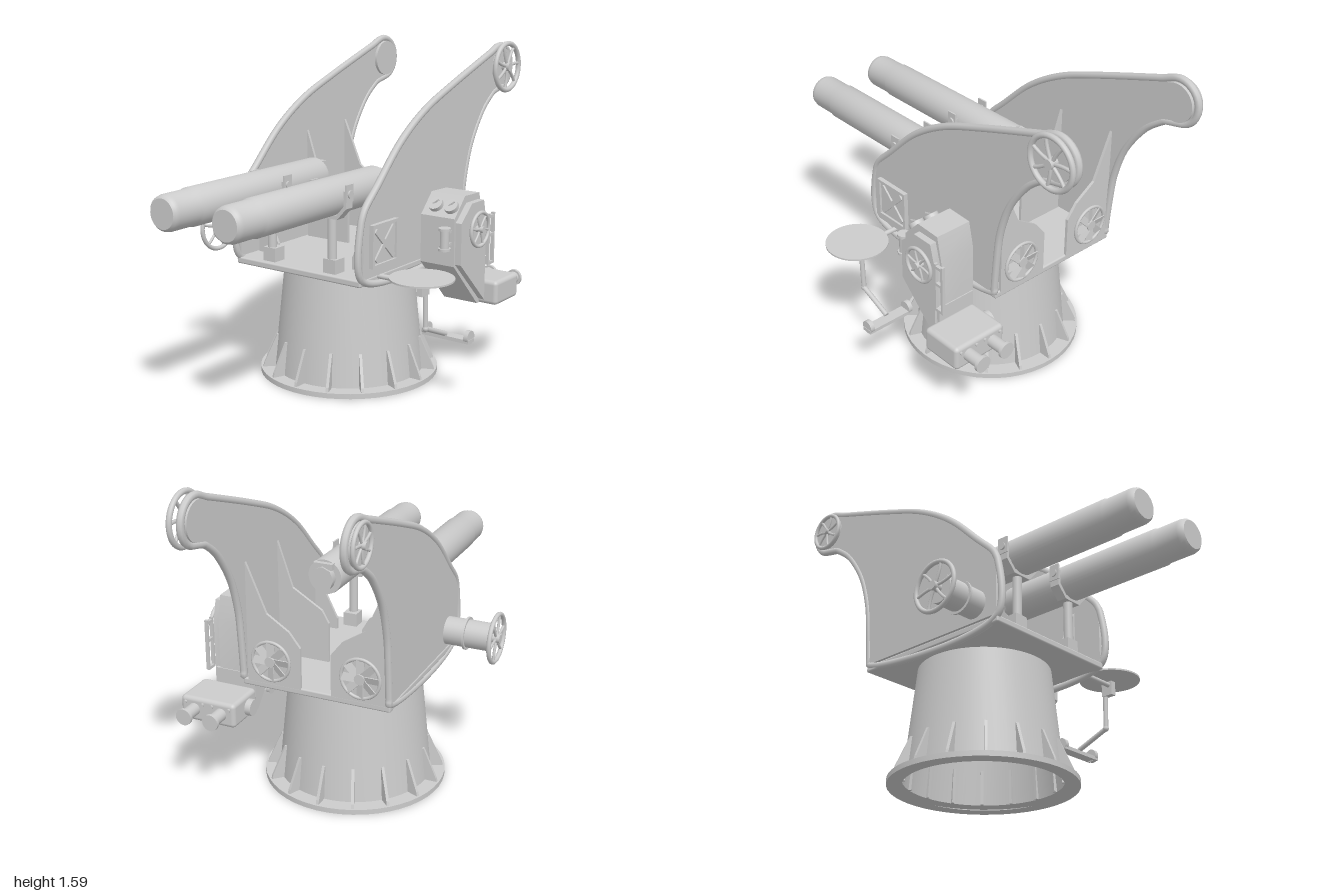
import * as THREE from 'three';
import { RoundedBoxGeometry } from 'three/addons/geometries/RoundedBoxGeometry.js';
import { toCreasedNormals } from 'three/addons/utils/BufferGeometryUtils.js';

const mat = new THREE.MeshStandardMaterial({ color: 0xcccccc, side: THREE.DoubleSide });
const V = (x, y, z) => new THREE.Vector3(x, y, z);
const CX = -0.07, CZ = -0.09; // axis of the pedestal

export function createModel() {
  const root = new THREE.Group();

  function add(name, geo, x = 0, y = 0, z = 0, parent = root) {
    const m = new THREE.Mesh(geo, mat);
    m.name = name;
    m.position.set(x, y, z);
    parent.add(m);
    return m;
  }
  function group(name, x = 0, y = 0, z = 0, parent = root) {
    const g = new THREE.Group();
    g.name = name;
    g.position.set(x, y, z);
    parent.add(g);
    return g;
  }
  const box = (name, w, h, d, x, y, z, p) => add(name, new THREE.BoxGeometry(w, h, d), x, y, z, p);
  // Cylinder between two points
  function rod(name, a, b, r, p, seg = 16, r2 = r) {
    const m = add(name, new THREE.CylinderGeometry(r2, r, a.distanceTo(b), seg), 0, 0, 0, p);
    m.position.copy(a).lerp(b, 0.5);
    m.quaternion.setFromUnitVectors(V(0, 1, 0), b.clone().sub(a).normalize());
    return m;
  }
  // Extrude a (z, y) outline from x0 to x1
  function sidePlate(name, pts, x0, x1, p) {
    const shape = new THREE.Shape(pts.map(([z, y]) => new THREE.Vector2(-z, y)));
    const geo = new THREE.ExtrudeGeometry(shape, { depth: x1 - x0, bevelEnabled: false });
    geo.rotateY(Math.PI / 2);
    return add(name, toCreasedNormals(geo, 0.6), x0, 0, 0, p);
  }
  // Spoked wheel with its axle along x
  function wheel(name, r, x, y, z, tube, spokes = 6) {
    const g = group(name, x, y, z);
    add('rim', new THREE.TorusGeometry(r - tube, tube, 10, 40).rotateY(Math.PI / 2), 0, 0, 0, g);
    rod('hub', V(-0.02, 0, 0), V(0.02, 0, 0), r * 0.17, g, 20);
    for (let i = 0; i < spokes; i++) {
      const a = (i / spokes) * Math.PI * 2 + 0.3;
      const at = (q, t) => V(0, Math.cos(a + t) * q, Math.sin(a + t) * q);
      const curve = new THREE.QuadraticBezierCurve3(at(r * 0.1, 0), at(r * 0.55, 0.15), at(r - tube, 0));
      add('spoke', new THREE.TubeGeometry(curve, 6, tube * 0.65, 6), 0, 0, 0, g);
    }
    return g;
  }

  // Hollow pedestal with foot ring and gussets
  const ped = group('pedestal', CX, 0, CZ);
  const skirt = [[0.37, 0.0], [0.44, 0.0], [0.44, 0.025], [0.37, 0.025], [0.315, 0.555], [0, 0.555]];
  add('pedestalCone', toCreasedNormals(new THREE.LatheGeometry(
    skirt.map(([r, y]) => new THREE.Vector2(r, y)), 48), 0.5), 0, 0, 0, ped);
  for (let i = 0; i < 16; i++) {
    const s = new THREE.Shape([[0.355, 0.025], [0.43, 0.025], [0.425, 0.045], [0.36, 0.19], [0.345, 0.19]]
      .map(([x, y]) => new THREE.Vector2(x, y)));
    const geo = new THREE.ExtrudeGeometry(s, { depth: 0.014, bevelEnabled: false }).translate(0, 0, -0.007);
    add('gusset', geo, 0, 0, 0, ped).rotation.y = (i * Math.PI) / 8;
  }

  // Deck
  add('deck', new RoundedBoxGeometry(0.73, 0.032, 0.85, 2, 0.008), -0.065, 0.589, -0.095);

  // Two curved side arms with a rolled edge
  const front = new THREE.SplineCurve([[0.32, 0.88], [0.29, 0.935], [0.2, 1.02], [0.02, 1.19], [-0.18, 1.315],
    [-0.42, 1.41], [-0.78, 1.535]].map(p => new THREE.Vector2(...p))).getPoints(36);
  const tip = Array.from({ length: 13 }, (_, i) => {
    const a = 1.95 - i * 0.29;
    return new THREE.Vector2(-0.87 - 0.1 * Math.sin(a - 0.5 + 0.25) * 1.0, 1.46 - 0.1 * Math.cos(a + 1.4));
  });
  tip.length = 0;
  for (let i = 0; i <= 14; i++) {
    const a = 1.1 - (i / 14) * -3.5; // sweep over the rounded top to the underside
    tip.push(new THREE.Vector2(-0.87 + 0.105 * Math.cos(a), 1.46 + 0.105 * Math.sin(a)));
  }
  const back = new THREE.SplineCurve([[-0.8, 1.335], [-0.7, 1.255], [-0.6, 1.11], [-0.545, 0.95], [-0.525, 0.8],
    [-0.51, 0.61]].map(p => new THREE.Vector2(...p))).getPoints(30);
  const outline = [new THREE.Vector2(0.32, 0.61), ...front, ...tip, ...back].map(v => [v.x, v.y]);
  for (const [name, x] of [['rightArm', -0.42], ['leftArm', 0.3]]) {
    const arm = group(name);
    sidePlate('panel', outline, x - 0.011, x + 0.011, arm);
    const path = new THREE.CatmullRomCurve3(outline.map(([z, y]) => V(x, y, z)), true, 'centripetal');
    add('rolledEdge', new THREE.TubeGeometry(path, 180, 0.017, 8, true), 0, 0, 0, arm);
    rod('wheelBoss', V(x - 0.02, 1.46, -0.87), V(x + 0.025, 1.46, -0.87), 0.09, arm, 32);
  }
  wheel('leftArmWheel', 0.13, 0.345, 1.46, -0.87, 0.013, 7);
  wheel('rightArmWheel', 0.1, -0.45, 1.46, -0.87, 0.01, 7);

  // Per side: bulkheads, ventilator, barrel and its stand
  for (const s of [-1, 1]) {
    const side = group(s < 0 ? 'rightBattery' : 'leftBattery', CX, 0, 0);
    side.name += 'Parts';
    const bulkheads = [
      [-0.515, [[0.34, 0.6], [0.075, 0.6], [0.075, 0.8], [0.13, 0.87], [0.24, 0.94], [0.34, 1.17]]],
      [-0.2, [[0.34, 0.6], [0.085, 0.6], [0.085, 0.8], [0.12, 0.86], [0.27, 0.95], [0.345, 1.17]]],
      [0.18, [[0.34, 0.6], [0.22, 0.6], [0.22, 0.66], [0.34, 0.9]]],
    ];
    for (const [z, pts] of bulkheads) {
      const shape = new THREE.Shape(pts.map(([x, y]) => new THREE.Vector2(x * s, y)));
      add('bulkhead', new THREE.ExtrudeGeometry(shape, { depth: 0.014, bevelEnabled: false }), 0, 0, z - 0.007, side);
    }

    // Ventilator with tilted blades
    const fan = group('ventilator', 0.22 * s, 0.715, -0.527, side);
    add('ring', new THREE.TorusGeometry(0.093, 0.008, 8, 36), 0, 0, 0, fan);
    rod('hub', V(0, 0, 0.005), V(0, 0, -0.014), 0.025, fan);
    for (let i = 0; i < 8; i++) {
      const arm = group('bladeArm', 0, 0, 0, fan);
      arm.rotation.z = (i * Math.PI) / 4;
      box('blade', 0.07, 0.036, 0.004, 0.055, 0, -0.002, arm).rotation.x = 0.35;
    }

    // Barrel along z, with a rounded muzzle
    const bx = 0.178 * s, by = 0.965;
    const prof = [[0, -0.05], [0.086, -0.05], [0.088, -0.04], [0.088, 0.83], [0.083, 0.84], [0.083, 0.97],
      [0.078, 0.99], [0.068, 1.0], [0, 1.0]].map(([r, z]) => new THREE.Vector2(r, z));
    const geo = toCreasedNormals(new THREE.LatheGeometry(prof, 40).rotateX(Math.PI / 2), 0.7);
    add('barrel', geo, bx, by, 0, side);
    rod('breechCap', V(bx, by, -0.05), V(bx, by, -0.085), 0.06, side, 8);
    box('breechLug', 0.1, 0.03, 0.03, bx, by + 0.06, -0.06, side);

    // Stand with a forked cradle
    box('standFoot', 0.07, 0.07, 0.07, bx, 0.637, 0.27, side);
    rod('standPost', V(bx, 0.62, 0.28), V(bx, 0.9, 0.28), 0.022, side);
    const u = new THREE.Shape([[-0.1, 1.0], [-0.1, 0.92], [-0.05, 0.865], [0.05, 0.865], [0.1, 0.92], [0.1, 1.0],
      [0.086, 1.0], [0.086, 0.93], [0.045, 0.885], [-0.045, 0.885], [-0.086, 0.93], [-0.086, 1.0]]
      .map(([x, y]) => new THREE.Vector2(x, y)));
    add('cradle', new THREE.ExtrudeGeometry(u, { depth: 0.05, bevelEnabled: false }), bx, 0, 0.26, side);
    for (const e of [-1, 1]) {
      rod('trunnionPin', V(bx + e * 0.08, 0.985, 0.285), V(bx + e * 0.112, 0.985, 0.285), 0.018, side);
      box('cradleEar', 0.008, 0.08, 0.055, bx + e * 0.1, 0.99, 0.285, side);
    }
  }

  // Training drive on the right side
  rod('driveDrum', V(-0.42, 0.695, 0.19), V(-0.65, 0.695, 0.19), 0.068, root, 28);
  rod('driveCollar', V(-0.526, 0.695, 0.19), V(-0.536, 0.695, 0.19), 0.08, root, 28);
  rod('driveAxle', V(-0.65, 0.695, 0.19), V(-0.69, 0.695, 0.19), 0.02);
  wheel('driveWheel', 0.127, -0.675, 0.695, 0.19, 0.011, 6);

  // Cross-braced hatch on the left arm
  const hatch = group('hatch', 0.317, 0.755, 0.175);
  box('hatchPlate', 0.01, 0.19, 0.19, 0, 0, 0, hatch);
  for (const e of [-1, 1]) {
    box('hatchFrame', 0.022, 0.014, 0.2, 0.005, e * 0.093, 0, hatch);
    box('hatchFrame', 0.022, 0.2, 0.014, 0.005, 0, e * 0.093, hatch);
    box('hatchBrace', 0.02, 0.024, 0.2, 0.004, 0, 0, hatch).rotation.x = (e * Math.PI) / 4;
  }

  // Control cabinet with gauges, handwheel and fittings
  const cabinet = group('controlCabinet');
  sidePlate('cabinetBody', [[-0.14, 0.6], [-0.14, 0.83], [-0.23, 0.925], [-0.36, 0.92], [-0.385, 0.8],
    [-0.385, 0.37], [-0.36, 0.37]], 0.315, 0.5, cabinet);
  sidePlate('cabinetCover', [[-0.15, 0.61], [-0.15, 0.81], [-0.24, 0.89], [-0.35, 0.89], [-0.375, 0.79],
    [-0.375, 0.39]], 0.5, 0.532, cabinet);
  for (const x of [0.375, 0.46]) {
    rod('gauge', V(x, 0.872, -0.18), V(x, 0.888, -0.165), 0.036, cabinet, 24);
    box('gaugeNeedle', 0.06, 0.006, 0.006, x, 0.89, -0.164, cabinet).rotation.z = 0.6;
  }
  rod('wheelAxle', V(0.52, 0.76, -0.29), V(0.565, 0.76, -0.29), 0.015, cabinet);
  wheel('cabinetWheel', 0.09, 0.55, 0.76, -0.29, 0.009, 6);
  const lamp = group('indicator', 0.475, 0.74, -0.095, cabinet);
  rod('indicatorBody', V(0, -0.045, 0), V(0, 0.045, 0), 0.022, lamp);
  for (const e of [-1, 1]) {
    rod('indicatorCap', V(0, e * 0.042, 0), V(0, e * 0.054, 0), 0.03, lamp);
    box('indicatorArm', 0.02, 0.012, 0.06, 0, e * 0.03, -0.025, lamp);
  }
  for (const z of [-0.39, -0.435]) box('guardPost', 0.016, 0.25, 0.012, 0.535, 0.69, z, cabinet);
  for (const y of [0.8, 0.71, 0.57]) box('guardBar', 0.016, 0.014, 0.055, 0.535, y, -0.412, cabinet);

  // Sight box with two eyepieces
  add('sightBox', new RoundedBoxGeometry(0.285, 0.12, 0.215, 3, 0.02), 0.455, 0.427, -0.485);
  box('sightBoxShelf', 0.2, 0.1, 0.03, 0.42, 0.51, -0.375);
  rod('sightKnob', V(0.315, 0.425, -0.46), V(0.283, 0.425, -0.46), 0.04);
  for (const x of [0.385, 0.525]) {
    rod('eyepiece', V(x, 0.43, -0.58), V(x, 0.43, -0.685), 0.03, root, 24);
    rod('eyepieceCollar', V(x, 0.43, -0.675), V(x, 0.43, -0.69), 0.04, root, 24);
    for (const e of [-1, 1]) rod('bolt', V(x + e * 0.045, 0.46, -0.585), V(x + e * 0.045, 0.46, -0.602), 0.008, root, 8);
  }

  // Operator seat with hanging footrest
  const seat = group('operatorSeat');
  rod('seatDisc', V(0.535, 0.624, 0.185), V(0.535, 0.632, 0.185), 0.148, seat, 40);
  rod('seatArm', V(0.3, 0.6, 0.185), V(0.535, 0.6, 0.185), 0.012, seat);
  box('seatSocket', 0.03, 0.07, 0.06, 0.535, 0.583, 0.175, seat);
  const hanger = [V(0.535, 0.56, 0.155), V(0.535, 0.385, 0.15), V(0.535, 0.315, -0.02)];
  for (let i = 0; i < 2; i++) rod('footrestHanger', hanger[i], hanger[i + 1], 0.012, seat);
  add('hangerElbow', new THREE.SphereGeometry(0.015, 12, 8), 0.535, 0.385, 0.15, seat);
  box('footrestBar', 0.25, 0.018, 0.055, 0.54, 0.3, -0.035, seat);
  for (const x of [0.425, 0.652]) rod('footrestEnd', V(x - 0.011, 0.317, -0.035), V(x + 0.011, 0.317, -0.035), 0.032, seat);

  return root;
}
